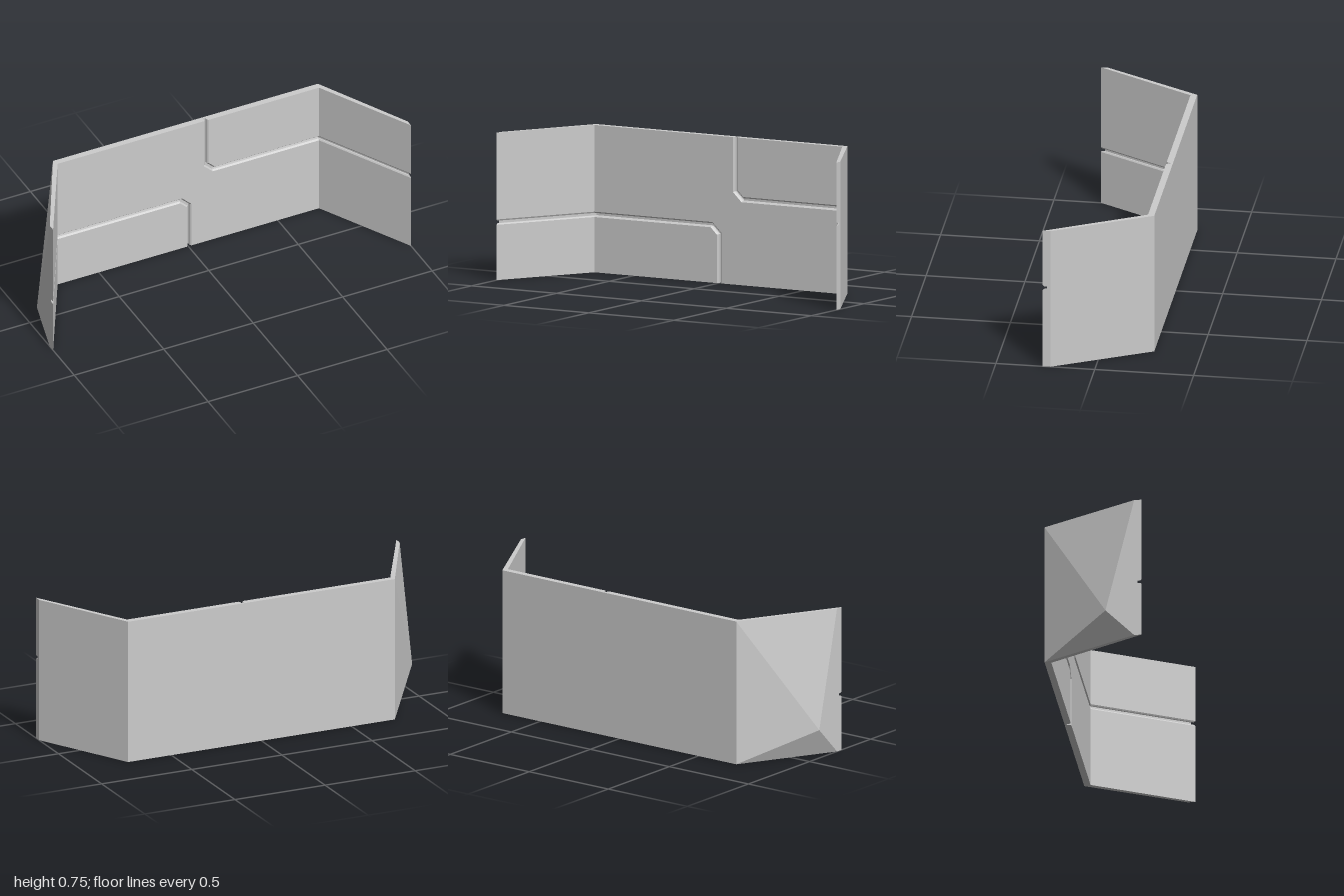
import * as THREE from 'three';

const H = 0.745;               // wall height
const TIP = 0.263, BACK = -0.263, TIP_BACK = 0.225;
const FOLD = 0.73, FRONT = -0.23, BACK_FOLD = 0.74;

const v = (x, y, z) => new THREE.Vector3(x, y, z);

// Depth of the front surface: flat centre, wings sloping forward
const frontZ = (x) =>
  FRONT + Math.max(0, Math.abs(x) - FOLD) / (1 - FOLD) * (TIP - FRONT);

// Shifts a path sideways with mitred corners
function offsetPath(path, d) {
  return path.map((p, i) => {
    const a = path[Math.max(i - 1, 0)], b = path[Math.min(i + 1, path.length - 1)];
    const n1 = p.clone().sub(a), n2 = b.clone().sub(p);
    if (i === 0) n1.copy(n2);
    if (i === path.length - 1) n2.copy(n1);
    for (const n of [n1, n2]) n.set(-n.y, n.x).normalize();
    const m = n1.clone().add(n2).normalize();
    return m.multiplyScalar(d / m.dot(n1)).add(p);
  });
}

function addTri(out, a, b, c) {
  const area = b.clone().sub(a).cross(c.clone().sub(a)).length();
  if (area > 1e-8) out.push(a, b, c);
}
function addQuad(out, a, b, c, d) {
  addTri(out, a, b, c);
  addTri(out, a, c, d);
}

// Front plate from columns [x, low, high] running along +x
function plate(columns) {
  const out = [];
  for (let i = 0; i + 1 < columns.length; i++) {
    const [x0, l0, h0] = columns[i], [x1, l1, h1] = columns[i + 1];
    const z0 = frontZ(x0), z1 = frontZ(x1);
    addQuad(out, v(x0, l0, z0), v(x1, l1, z1), v(x1, h1, z1), v(x0, h0, z0));
  }
  return out;
}

// Flat cap over an outline of 3D points, facing the given direction
function cap(points, facing) {
  const flat = points.map((p) => facing.x ? new THREE.Vector2(p.z, p.y) : new THREE.Vector2(p.x, p.z));
  const out = [];
  for (const [i, j, k] of THREE.ShapeUtils.triangulateShape(flat, [])) {
    const a = points[i], b = points[j], c = points[k];
    const n = b.clone().sub(a).cross(c.clone().sub(a));
    if (n.dot(facing) > 0) addTri(out, a, b, c);
    else addTri(out, a, c, b);
  }
  return out;
}

export function createModel() {
  const group = new THREE.Group();
  const material = new THREE.MeshStandardMaterial({ color: 0xcccccc, side: THREE.DoubleSide });
  const add = (name, points) => {
    const geometry = new THREE.BufferGeometry().setFromPoints(points);
    geometry.computeVertexNormals();
    const mesh = new THREE.Mesh(geometry, material);
    mesh.name = name;
    group.add(mesh);
  };

  // Groove centre lines and bevelled cross-section [offset, depth]
  const toPath = (list) => list.map(([x, y]) => new THREE.Vector2(x, y));
  const lowPath = toPath([[-1, 0.293], [-FOLD, 0.293], [-0.04, 0.293], [0.005, 0.25], [0.005, 0]]);
  const highPath = toPath([[1, 0.433], [FOLD, 0.433], [0.142, 0.433], [0.1, 0.473], [0.1, H]]);
  const W = 0.0135;
  const profile = [[W, 0], [0.0065, 0.008], [0.0065, 0.022], [-0.0065, 0.022], [-0.0065, 0.008], [-W, 0]];

  // Grooves swept along both paths; rows[i] is the section at path point i
  const sections = (path) => {
    const lines = profile.map(([d, depth]) =>
      offsetPath(path, d).map((p) => v(p.x, p.y, frontZ(p.x) - depth)));
    return path.map((_, i) => lines.map((line) => line[i]));
  };
  const groove = (rows) => {
    const out = [];
    for (let i = 0; i + 1 < rows.length; i++)
      for (let t = 0; t + 1 < profile.length; t++)
        addQuad(out, rows[i][t], rows[i][t + 1], rows[i + 1][t + 1], rows[i + 1][t]);
    return out;
  };
  const low = sections(lowPath), high = sections(highPath);
  add('lowerGroove', groove(low));
  add('upperGroove', groove(high));

  // Three front plates separated by the grooves
  const lowIn = offsetPath(lowPath, W), highIn = offsetPath(highPath, W).reverse();
  add('middleFrontPlate', plate([
    ...lowIn.map((p) => [p.x, p.y, H]),
    ...highIn.map((p) => [p.x, 0, p.y]),
  ]));
  add('lowerFrontPlate', plate(offsetPath(lowPath, -W).map((p) => [p.x, 0, p.y])));
  add('upperFrontPlate', plate(offsetPath(highPath, -W).reverse().map((p) => [p.x, p.y, H])));

  // Back panel and the straight wing back
  const back = [];
  addQuad(back, v(BACK_FOLD, 0, BACK), v(-BACK_FOLD, 0, BACK), v(-BACK_FOLD, H, BACK), v(BACK_FOLD, H, BACK));
  add('backPanel', back);
  const leftBack = [];
  addQuad(leftBack, v(1, 0, TIP_BACK), v(BACK_FOLD, 0, BACK), v(BACK_FOLD, H, BACK), v(1, H, TIP_BACK));
  add('leftWingBack', leftBack);

  // Right wing back, pulled out to a point near its lower outer edge
  const peak = v(-1, 0.145, 0.08);
  const rim = [v(-1, H, TIP_BACK), v(-BACK_FOLD, H, BACK), v(-BACK_FOLD, 0, BACK), v(-1, 0, TIP_BACK)];
  const rightBack = [];
  for (let i = 0; i < 3; i++) addTri(rightBack, peak, rim[i], rim[i + 1]);
  // Winding: outward is toward -x and -z
  for (let i = 0; i < rightBack.length; i += 3) {
    const [a, b, c] = rightBack.slice(i, i + 3);
    if (b.clone().sub(a).cross(c.clone().sub(a)).dot(v(-1, 0, -0.5)) < 0) {
      rightBack[i + 1] = c;
      rightBack[i + 2] = b;
    }
  }
  add('rightWingBack', rightBack);

  // Top and bottom edges, notched where a groove runs out
  const edge = (y, notch) => [
    v(-1, y, TIP), v(-FOLD, y, FRONT), ...notch, v(FOLD, y, FRONT), v(1, y, TIP),
    v(1, y, TIP_BACK), v(BACK_FOLD, y, BACK), v(-BACK_FOLD, y, BACK), v(-1, y, TIP_BACK),
  ];
  add('topEdge', cap(edge(H, high[4]), v(0, 1, 0)));
  add('bottomEdge', cap(edge(0, [...low[4]].reverse()), v(0, -1, 0)));

  // Wing end faces
  add('leftWingEnd', cap(
    [v(1, 0, TIP), ...high[0], v(1, H, TIP), v(1, H, TIP_BACK), v(1, 0, TIP_BACK)], v(1, 0, 0)));
  add('rightWingEnd', cap(
    [v(-1, H, TIP), ...low[0], v(-1, 0, TIP), v(-1, 0, TIP_BACK), peak, v(-1, H, TIP_BACK)], v(-1, 0, 0)));

  return group;
}
